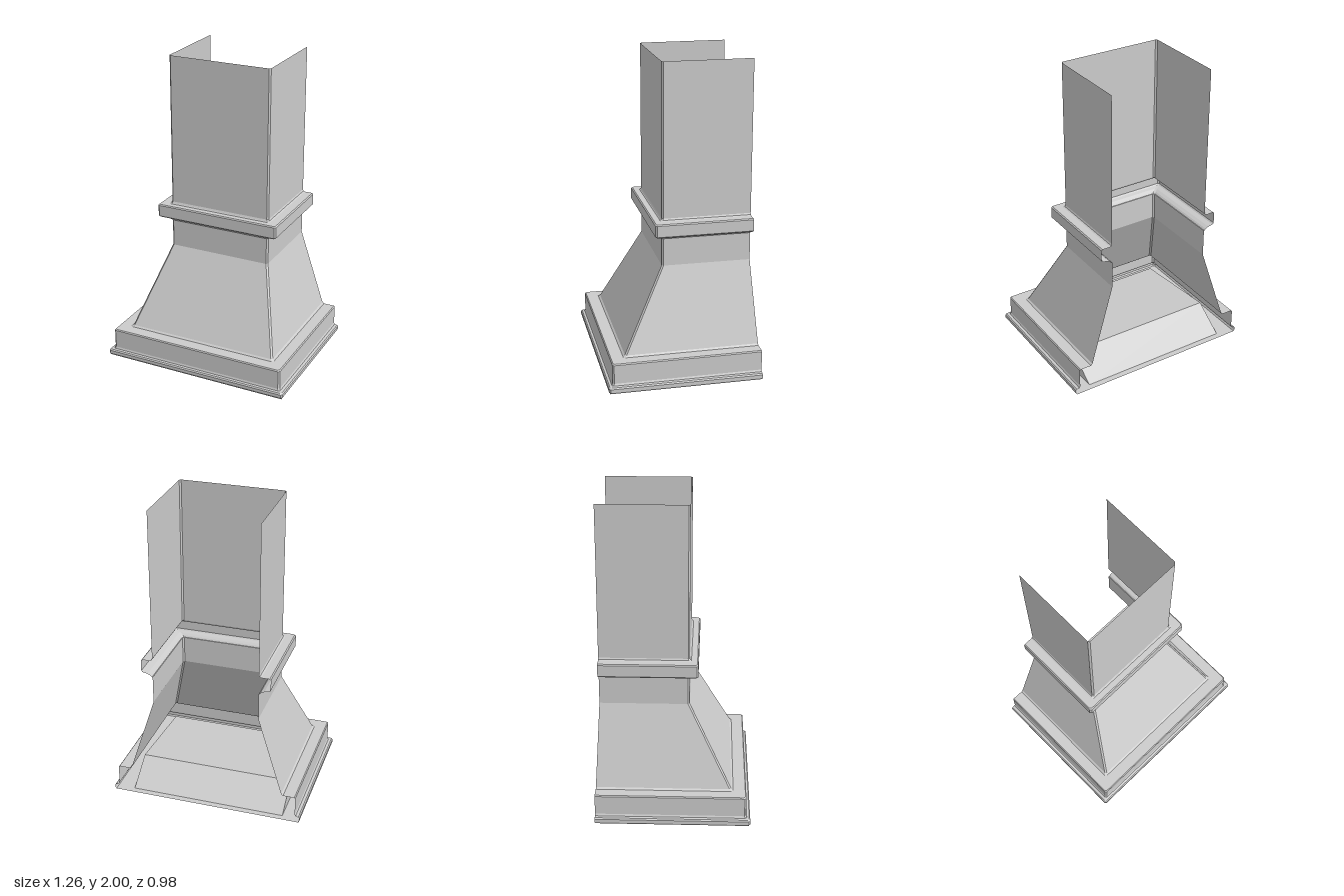
import * as THREE from 'three';

const material = new THREE.MeshStandardMaterial({ color: 0xcccccc, side: THREE.DoubleSide });

// Skin a list of equally long point rows with flat-shaded quads.
function skin(rows) {
  const pos = [];
  for (let i = 0; i < rows.length - 1; i++) {
    for (let j = 0; j < rows[i].length - 1; j++) {
      const a = rows[i][j], b = rows[i][j + 1], c = rows[i + 1][j], d = rows[i + 1][j + 1];
      pos.push(...a, ...b, ...c, ...b, ...d, ...c);
    }
  }
  const geometry = new THREE.BufferGeometry();
  geometry.setAttribute('position', new THREE.Float32BufferAttribute(pos, 3));
  geometry.computeVertexNormals();
  return geometry;
}

// Three-sided ring, open at the back, with small chamfers on the front corners.
function ring([x, front, back, y]) {
  const b = 0.01;
  return [
    [x, y, back], [x, y, front - b], [x - b, y, front],
    [-x + b, y, front], [-x, y, front - b], [-x, y, back],
  ];
}

export function createModel() {
  const group = new THREE.Group();
  const add = (name, geometry) => {
    const mesh = new THREE.Mesh(geometry, material);
    mesh.name = name;
    group.add(mesh);
    return mesh;
  };
  const shell = (name, profile) => add(name, skin(profile.map(ring)));

  // Profiles run from top to bottom: half width, front z, back z, height
  shell('chimneyShaft', [
    [0.345, 0.1, -0.47, 2],
    [0.345, 0.1, -0.47, 1.02],
  ]);

  shell('crownMoulding', [
    [0.345, 0.1, -0.47, 1.02],
    [0.35, 0.105, -0.47, 1.01],
    [0.36, 0.11, -0.47, 1.005],
    [0.413, 0.148, -0.47, 1.005],
    [0.42, 0.155, -0.47, 0.998],
    [0.42, 0.155, -0.47, 0.925],
    [0.412, 0.147, -0.47, 0.917],
    [0.38, 0.125, -0.47, 0.91],
    [0.36, 0.112, -0.47, 0.9],
    [0.35, 0.105, -0.47, 0.89],
    [0.345, 0.1, -0.47, 0.89],
  ]);

  shell('taperedHood', [
    [0.345, 0.1, -0.47, 0.89],
    [0.345, 0.1, -0.47, 0.71],
    [0.508, 0.37, -0.49, 0.195],
  ]);

  shell('baseMoulding', [
    [0.508, 0.37, -0.49, 0.195],
    [0.52, 0.382, -0.49, 0.185],
    [0.594, 0.459, -0.49, 0.185],
    [0.6, 0.465, -0.49, 0.178],
    [0.6, 0.465, -0.49, 0.055],
    [0.606, 0.47, -0.49, 0.043],
    [0.624, 0.485, -0.49, 0.04],
    [0.631, 0.492, -0.49, 0.032],
    [0.631, 0.492, -0.49, 0.01],
    [0.625, 0.485, -0.49, 0],
  ]);

  // Flat rim around the underside opening
  const rect = (path, x, z0, z1) =>
    path.moveTo(-x, z0).lineTo(x, z0).lineTo(x, z1).lineTo(-x, z1).closePath();
  const rimShape = rect(new THREE.Shape(), 0.625, -0.49, 0.485);
  rimShape.holes.push(rect(new THREE.Path(), 0.51, -0.45, 0.37));
  add('bottomRim', new THREE.ShapeGeometry(rimShape).rotateX(Math.PI / 2));

  // Recessed liner: steep at the back, gently falling to the front
  const liner = [[-0.45, 0], [-0.25, 0.14], [0.37, 0.08], [0.37, 0]];
  add('linerPanel', skin(liner.map(([z, y]) => [[-0.51, y, z], [0.51, y, z]])));

  // Liner side walls
  const sideShape = new THREE.Shape(liner.map(([z, y]) => new THREE.Vector2(z, y)));
  for (const side of [-1, 1]) {
    const wall = add(side > 0 ? 'linerSideLeft' : 'linerSideRight',
      new THREE.ShapeGeometry(sideShape).rotateY(-Math.PI / 2));
    wall.position.x = side * 0.51;
  }

  return group;
}
